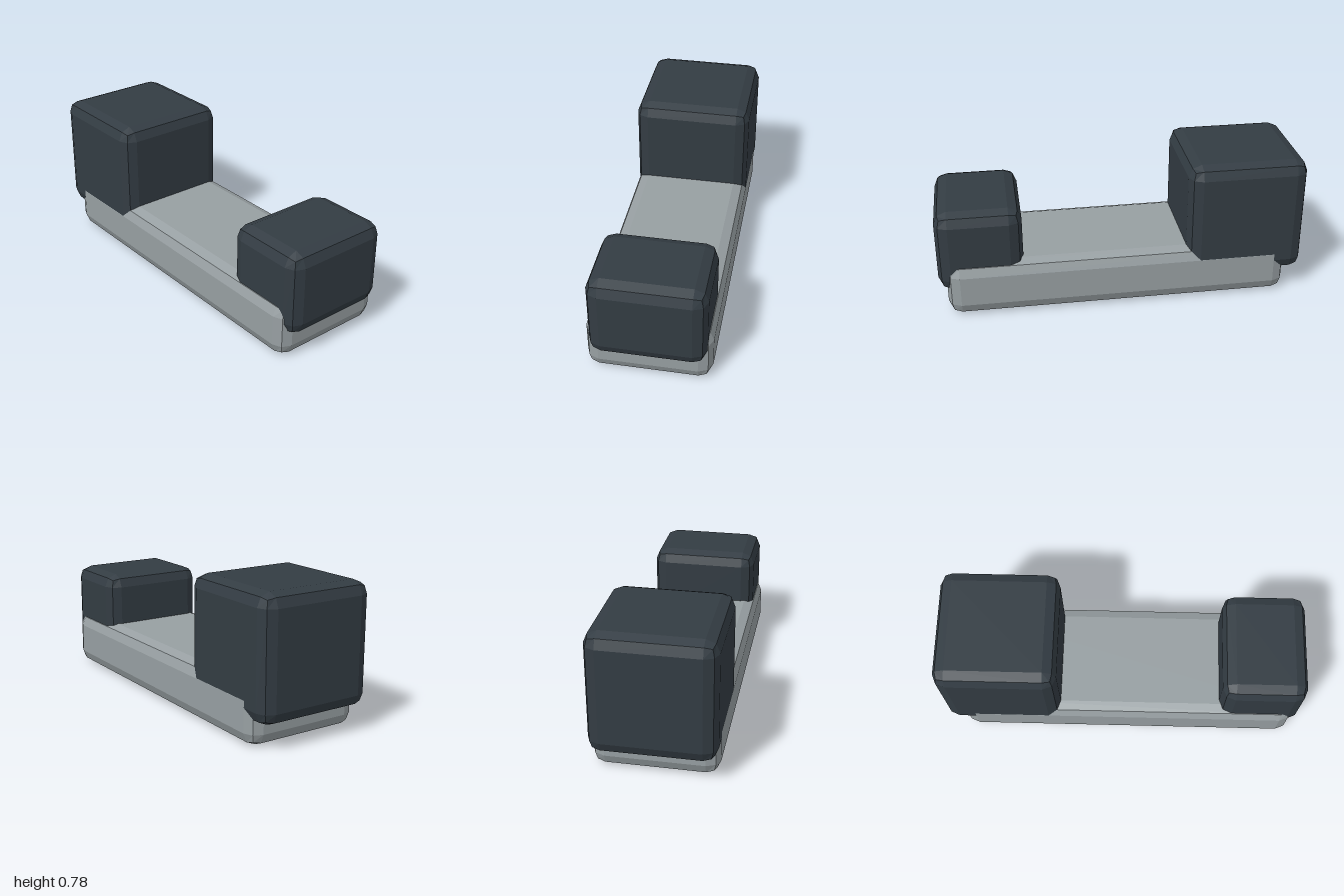
import * as THREE from 'three';
import { RoundedBoxGeometry } from 'three/addons/geometries/RoundedBoxGeometry.js';

const BEVEL = 0.07;

// Box with two-facet bevelled edges, given by its extents
function bevelledBox(name, color, width, [y0, y1], [z0, z1]) {
  const geometry = new RoundedBoxGeometry(width, y1 - y0, z1 - z0, 1, BEVEL);
  const material = new THREE.MeshStandardMaterial({ color, flatShading: true });
  const mesh = new THREE.Mesh(geometry, material);
  mesh.name = name;
  mesh.position.set(0, (y0 + y1) / 2, (z0 + z1) / 2);
  return mesh;
}

export function createModel() {
  const model = new THREE.Group();
  model.name = 'steppedBlock';
  const grey = 0x979fa2;
  const dark = 0x333c43;

  model.add(
    // long slab lying on the ground, a hair wider than the rear block
    bevelledBox('base', grey, 0.651, [0, 0.305], [-0.905, 0.955]),
    // smaller block overhanging the front end
    bevelledBox('frontBlock', dark, 0.604, [0.138, 0.595], [0.54, 1]),
    // large cube overhanging the rear end
    bevelledBox('rearBlock', dark, 0.65, [0.13, 0.78], [-1, -0.35]),
  );
  return model;
}
